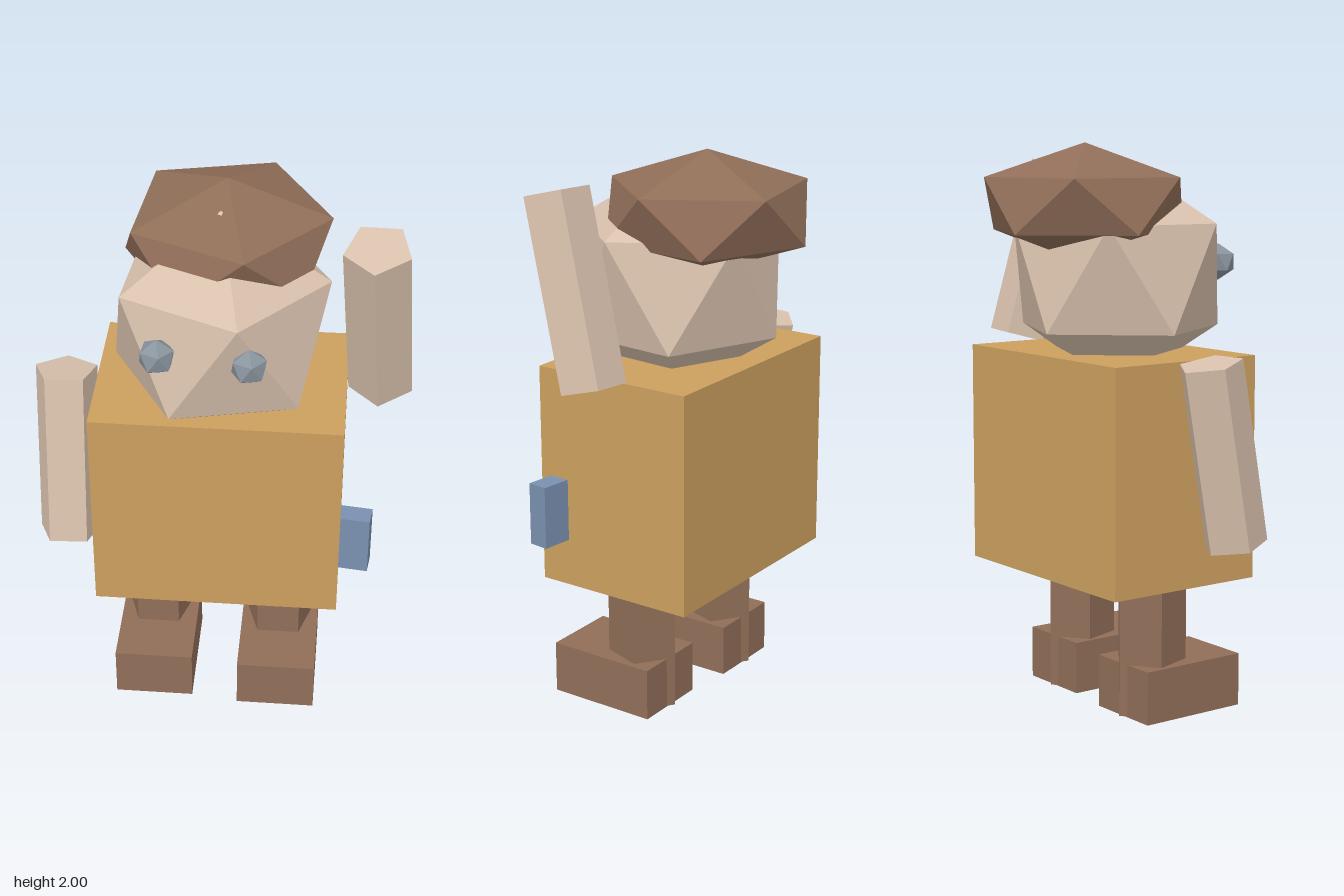
import * as THREE from 'three';

const material = (name, color) => {
  const m = new THREE.MeshStandardMaterial({ color, flatShading: true });
  m.name = name;
  return m;
};

const TURN = 0.05; // the whole figure is turned slightly to its left
const FACET = THREE.MathUtils.degToRad(15.5);

// Icosahedron standing on a corner: two apexes and two staggered five-point rings
function gemGeometry(radius, height, angle) {
  const ring = radius * 2 / Math.sqrt(5), level = height / Math.sqrt(5);
  const step = Math.PI * 2 / 5;
  const at = (k, half, y) => {
    const a = angle + (k + half) * step;
    return [ring * Math.sin(a), y, ring * Math.cos(a)];
  };
  const top = [0, height, 0], bottom = [0, -height, 0], pos = [];
  for (let k = 0; k < 5; k++) {
    const u0 = at(k, 0, level), u1 = at(k + 1, 0, level);
    const l0 = at(k, 0.5, -level), l1 = at(k + 1, 0.5, -level);
    pos.push(...top, ...u0, ...u1);
    pos.push(...u0, ...l0, ...u1);
    pos.push(...l0, ...l1, ...u1);
    pos.push(...bottom, ...l1, ...l0);
  }
  const g = new THREE.BufferGeometry();
  g.setAttribute('position', new THREE.Float32BufferAttribute(pos, 3));
  g.computeVertexNormals();
  return g;
}

export function createModel() {
  const model = new THREE.Group();
  model.name = 'blockyFigure';

  const skin = material('skin', 0xd8c0ac);
  const brown = material('brown', 0x906e58);
  const ochre = material('ochre', 0xcca05e);
  const blue = material('blue', 0x7a90b0);
  const grey = material('grey', 0x8a949e);

  const add = (name, geometry, mat, x, y, z, turn = 0) => {
    const mesh = new THREE.Mesh(geometry, mat);
    mesh.name = name;
    mesh.position.set(x, y, z);
    mesh.rotation.y = turn;
    model.add(mesh);
    return mesh;
  };

  // Five-sided bar between two points
  const bar = (name, mat, from, to, radius, angle) => {
    const a = new THREE.Vector3(...from), b = new THREE.Vector3(...to);
    const axis = b.clone().sub(a), length = axis.length();
    const g = new THREE.CylinderGeometry(radius, radius, length, 5, 1, false, THREE.MathUtils.degToRad(angle));
    const mid = a.add(b).multiplyScalar(0.5);
    const mesh = add(name, g, mat, mid.x, mid.y, mid.z);
    mesh.quaternion.setFromUnitVectors(new THREE.Vector3(0, 1, 0), axis.normalize());
  };

  // Torso and side pouch
  add('torso', new THREE.BoxGeometry(0.87, 0.79, 0.606), ochre, 0, 0.875, 0.015, TURN);
  add('pouch', new THREE.BoxGeometry(0.16, 0.225, 0.075), blue, 0.473, 0.7625, 0.222, -0.07);

  // Legs and feet
  for (const [side, legX, footX] of [['left', 0.22, 0.228], ['right', -0.235, -0.228]]) {
    bar(side + 'Leg', brown, [legX, 0.003, 0.022], [legX, 0.5, 0.022], 0.131, 39);
    add(side + 'Foot', new THREE.BoxGeometry(0.285, 0.19, 0.412), brown, footX, 0.095, 0.115, TURN);
  }

  // Arms: the right hangs, the left is raised
  bar('rightArm', skin, [-0.54, 0.64, 0.165], [-0.55, 1.272, 0.045], 0.114, 43);
  bar('leftArm', skin, [0.55, 1.275, -0.027], [0.52, 1.91, 0.143], 0.116, -2);

  // Head, hair and eyes
  add('head', gemGeometry(0.415, 0.415, FACET), skin, 0, 1.537, 0.045);
  add('hair', gemGeometry(0.397, 0.2125, FACET), brown, 0.004, 1.7875, -0.09);
  add('rightEye', gemGeometry(0.065, 0.065, FACET), grey, -0.17, 1.58, 0.362);
  add('leftEye', gemGeometry(0.065, 0.065, FACET), grey, 0.135, 1.58, 0.377);

  return model;
}
